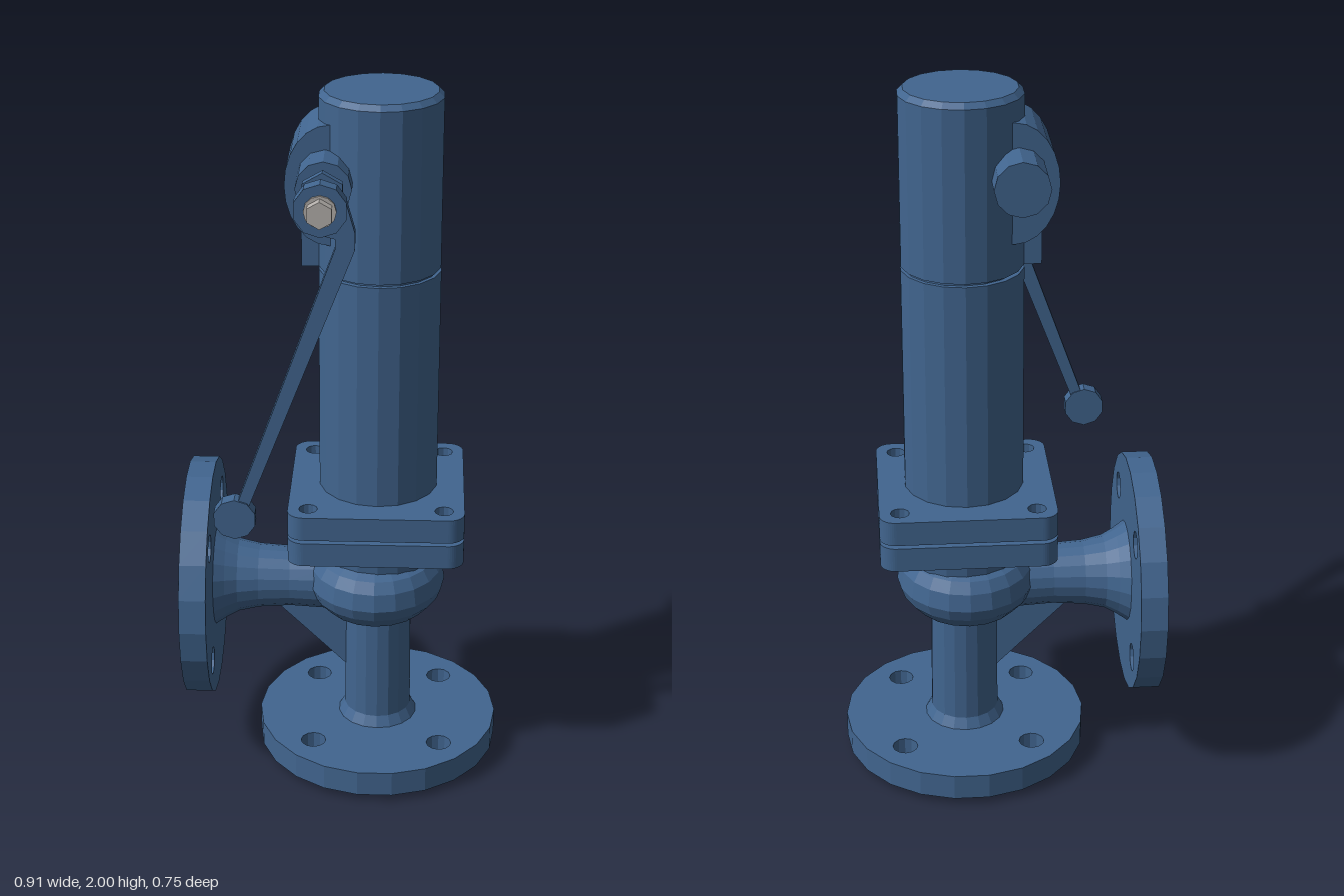
import * as THREE from 'three';

const paint = new THREE.MeshStandardMaterial({ color: 0x41658f, flatShading: true });
const steel = new THREE.MeshStandardMaterial({ color: 0xb4b0ac, flatShading: true });
const AX = 0.105, AZ = -0.03; // vertical axis of the valve
const OUT_Y = 0.545;          // height of the outlet axis

export function createModel() {
  const model = new THREE.Group();

  const add = (name, geo, x = 0, y = 0, z = 0, mat = paint) => {
    const m = new THREE.Mesh(geo, mat);
    m.name = name;
    m.position.set(x, y, z);
    model.add(m);
    return m;
  };
  const lathe = (pts, n = 18) =>
    new THREE.LatheGeometry(pts.map(p => new THREE.Vector2(p[0], p[1])), n);
  const circle = (r, n, x = 0, y = 0, P = THREE.Path) => {
    const pts = [];
    for (let i = 0; i < n; i++) {
      const a = (i / n) * Math.PI * 2;
      pts.push(new THREE.Vector2(x + r * Math.cos(a), y + r * Math.sin(a)));
    }
    return new P(pts);
  };
  const drill = (shape, d, r) => {
    for (const sx of [-1, 1]) for (const sy of [-1, 1]) shape.holes.push(circle(r, 12, sx * d, sy * d));
  };
  const extrude = (shape, depth) =>
    new THREE.ExtrudeGeometry(shape, { depth, bevelEnabled: false, curveSegments: 6 });
  const flange = (r, bore, hole, depth) => {
    const s = circle(r, 22, 0, 0, THREE.Shape);
    drill(s, 0.183, hole);
    s.holes.push(circle(bore, 18));
    return extrude(s, depth);
  };
  // cylinder along z, from z0 to z1
  const rod = (name, r, z0, z1, n, mat) =>
    add(name, new THREE.CylinderGeometry(r, r, z1 - z0, n).rotateX(Math.PI / 2), -0.042, 1.79, (z0 + z1) / 2, mat);

  // inlet: flange, and raised face running up into the stem
  add('inletFlange', flange(0.35, 0.085, 0.036, 0.075).rotateX(-Math.PI / 2), AX, 0.02, AZ);
  add('inletStem', lathe([
    [0.065, 0], [0.14, 0], [0.14, 0.03], [0.1, 0.03], [0.115, 0.095], [0.098, 0.125],
    [0.095, 0.5], [0, 0.5], [0, 0.4], [0.065, 0.4], [0.065, 0],
  ]), AX, 0, AZ);

  // outlet: flange, and raised face running into the flared neck
  add('outletFlange', flange(0.343, 0.1, 0.04, 0.075).rotateY(Math.PI / 2), -0.44, OUT_Y, AZ + 0.005);
  add('outletNeck', lathe([
    [0.08, -0.46], [0.173, -0.46], [0.173, -0.43], [0.11, -0.43], [0.145, -0.365], [0.125, -0.335],
    [0.106, -0.3], [0.093, -0.24], [0.087, -0.15], [0.092, -0.05], [0.096, 0.1], [0, 0.1],
    [0, -0.2], [0.08, -0.2], [0.08, -0.46],
  ]).rotateZ(-Math.PI / 2), 0, OUT_Y, AZ + 0.005);

  // web between stem and neck
  const web = new THREE.Shape([[-0.22, 0.49], [0.02, 0.25], [0.06, 0.25], [0.06, 0.49]]
    .map(p => new THREE.Vector2(...p)));
  add('gusset', extrude(web, 0.04), 0, 0, AZ - 0.02);

  // swollen body and collar
  const body = add('body', lathe([
    [0, 0.45], [0.11, 0.455], [0.165, 0.475], [0.203, 0.515], [0.216, 0.55],
    [0.207, 0.6], [0.185, 0.63], [0.15, 0.645], [0, 0.645],
  ], 20), AX - 0.008, 0, AZ + 0.005);
  body.scale.x = 0.92;
  add('collar', new THREE.CylinderGeometry(0.17, 0.16, 0.11, 18), AX, 0.66, AZ);

  // square bolted plates with a gasket between them
  const h = 0.245, c = 0.045;
  const plate = new THREE.Shape();
  plate.absarc(h - c, h - c, c, 0, Math.PI / 2);
  plate.absarc(c - h, h - c, c, Math.PI / 2, Math.PI);
  plate.absarc(c - h, c - h, c, Math.PI, Math.PI * 1.5);
  plate.absarc(h - c, c - h, c, Math.PI * 1.5, Math.PI * 2);
  drill(plate, 0.188, 0.026);
  for (const [name, y] of [['lowerPlate', 0.71], ['upperPlate', 0.79]])
    add(name, extrude(plate, 0.07).rotateX(-Math.PI / 2), 0.1, y, AZ);
  add('gasket', new THREE.CylinderGeometry(0.21, 0.21, 0.03, 20), 0.1, 0.785, AZ);

  // spring housing and cap
  add('springHousing', new THREE.CylinderGeometry(0.168, 0.168, 0.655, 18), AX - 0.003, 1.18, AZ);
  add('seam', new THREE.CylinderGeometry(0.155, 0.155, 0.04, 18), AX, 1.51, AZ);
  add('cap', lathe([[0, 1.516], [0.167, 1.516], [0.167, 1.985], [0.152, 2], [0, 2]]), AX - 0.003, 0, AZ);

  // rounded lever housing on the side of the cap
  const boss = new THREE.Shape();
  boss.moveTo(0.06, 1.6);
  boss.lineTo(0.06, 1.93);
  boss.lineTo(-0.03, 1.93);
  boss.absellipse(-0.03, 1.765, 0.12, 0.165, Math.PI / 2, Math.PI * 1.5, false, 0);
  add('leverHousing', extrude(boss, 0.205), 0, 0, -0.135);
  add('housingTab', new THREE.BoxGeometry(0.08, 0.13, 0.06), -0.07, 1.581, AZ);

  // lever shaft and its fittings
  rod('crossTube', 0.074, -0.255, 0.172, 12);
  rod('spacer', 0.045, 0.17, 0.197, 12);
  rod('shaftNut', 0.06, 0.195, 0.22, 6);
  rod('shaft', 0.032, 0.21, 0.31, 10);
  rod('leverHub', 0.07, 0.298, 0.341, 10);
  rod('washer', 0.042, 0.341, 0.348, 12, steel);
  rod('boltHead', 0.036, 0.348, 0.376, 6, steel);

  // cranked lever arm and end knob
  const arm = new THREE.Shape([
    [-0.04, 1.725], [-0.005, 1.715], [-0.004, 1.69], [-0.268, 0.96], [-0.238, 0.95],
    [0.045, 1.685], [0.046, 1.73], [0.022, 1.815], [-0.04, 1.81],
  ].map(p => new THREE.Vector2(...p)));
  add('leverArm', extrude(arm, 0.034), 0, 0, 0.302);
  add('leverKnob', new THREE.CylinderGeometry(0.058, 0.058, 0.042, 10).rotateX(Math.PI / 2), -0.275, 0.918, 0.32);

  return model;
}
